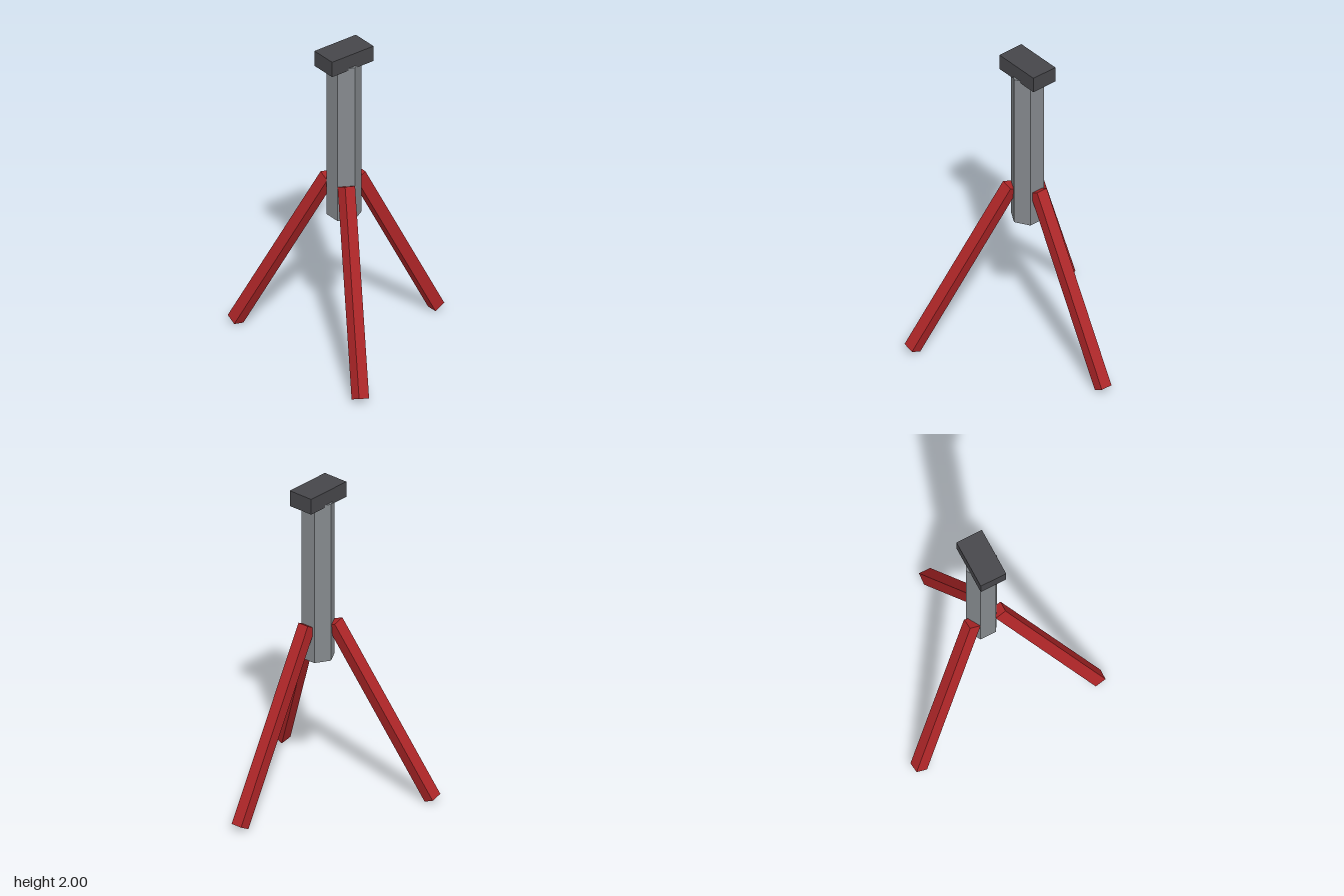
import * as THREE from 'three';

const AXIS_X = -0.17; // the column stands off-centre

const paint = (name, color) => {
  const m = new THREE.MeshStandardMaterial({ color });
  m.name = name;
  return m;
};

export function createModel() {
  const group = new THREE.Group();
  group.name = 'tripodStand';
  const red = paint('red', 0xb02628);
  const grey = paint('steelGrey', 0x85898d);
  const dark = paint('darkGrey', 0x46464a);

  const add = (name, geometry, material) => {
    const mesh = new THREE.Mesh(geometry, material);
    mesh.name = name;
    group.add(mesh);
    return mesh;
  };

  // Hexagonal column, flat sided
  const hex = new THREE.CylinderGeometry(0.102, 0.102, 1.025, 6).toNonIndexed();
  hex.computeVertexNormals();
  add('column', hex, grey).position.set(AXIS_X, 1.4025, 0);

  // Head block on top
  add('head', new THREE.BoxGeometry(0.307, 0.1, 0.168), dark).position.set(AXIS_X, 1.95, 0);

  // Three splayed square legs, each tilted straight from upright
  const up = new THREE.Vector3(0, 1, 0);
  ['leftLeg', 'frontRightLeg', 'backRightLeg'].forEach((name, i) => {
    const a = (i * Math.PI * 2) / 3;
    const at = (r, y) => new THREE.Vector3(AXIS_X + r * Math.cos(a), y, r * Math.sin(a));
    const top = at(0.098, 1.124);
    const foot = at(0.683, 0.027);
    const leg = add(name, new THREE.BoxGeometry(0.073, top.distanceTo(foot), 0.073), red);
    leg.position.copy(top).add(foot).multiplyScalar(0.5);
    leg.quaternion.setFromUnitVectors(up, top.sub(foot).normalize());
  });

  return group;
}
